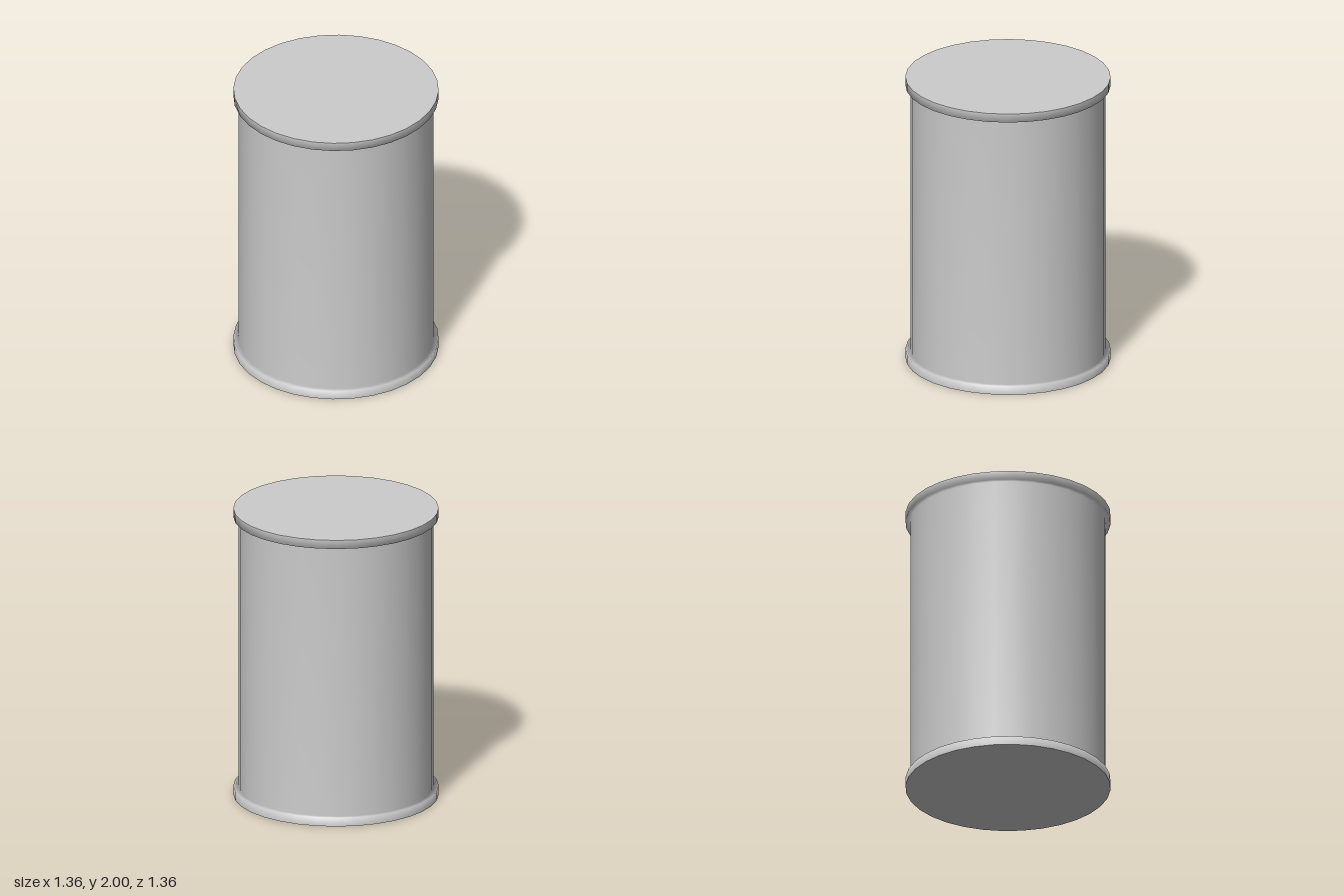
import * as THREE from 'three';

const SEGMENTS = 32;
const BODY_RADIUS = 0.647;
const RIM_RADIUS = 0.681;
const RIM_HEIGHT = 0.06;
const HEIGHT = 2;

export function createModel() {
  const group = new THREE.Group();
  group.name = 'drum';
  const material = new THREE.MeshStandardMaterial({ color: 0xcccccc });

  function add(name, geometry, y = 0) {
    const mesh = new THREE.Mesh(geometry, material);
    mesh.name = name;
    mesh.position.y = y;
    group.add(mesh);
  }

  // Wall with both rims, smooth shaded as one continuous profile
  const profile = [
    [RIM_RADIUS, 0],
    [RIM_RADIUS, RIM_HEIGHT],
    [BODY_RADIUS, RIM_HEIGHT],
    [BODY_RADIUS, HEIGHT - RIM_HEIGHT],
    [RIM_RADIUS, HEIGHT - RIM_HEIGHT],
    [RIM_RADIUS, HEIGHT],
  ].map(([r, y]) => new THREE.Vector2(r, y));
  add('wallAndRims', new THREE.LatheGeometry(profile, SEGMENTS));

  // Flat end discs
  const disc = (angle) => new THREE.CircleGeometry(RIM_RADIUS, SEGMENTS).rotateX(angle);
  add('topDisc', disc(-Math.PI / 2), HEIGHT);
  add('bottomDisc', disc(Math.PI / 2));

  return group;
}
